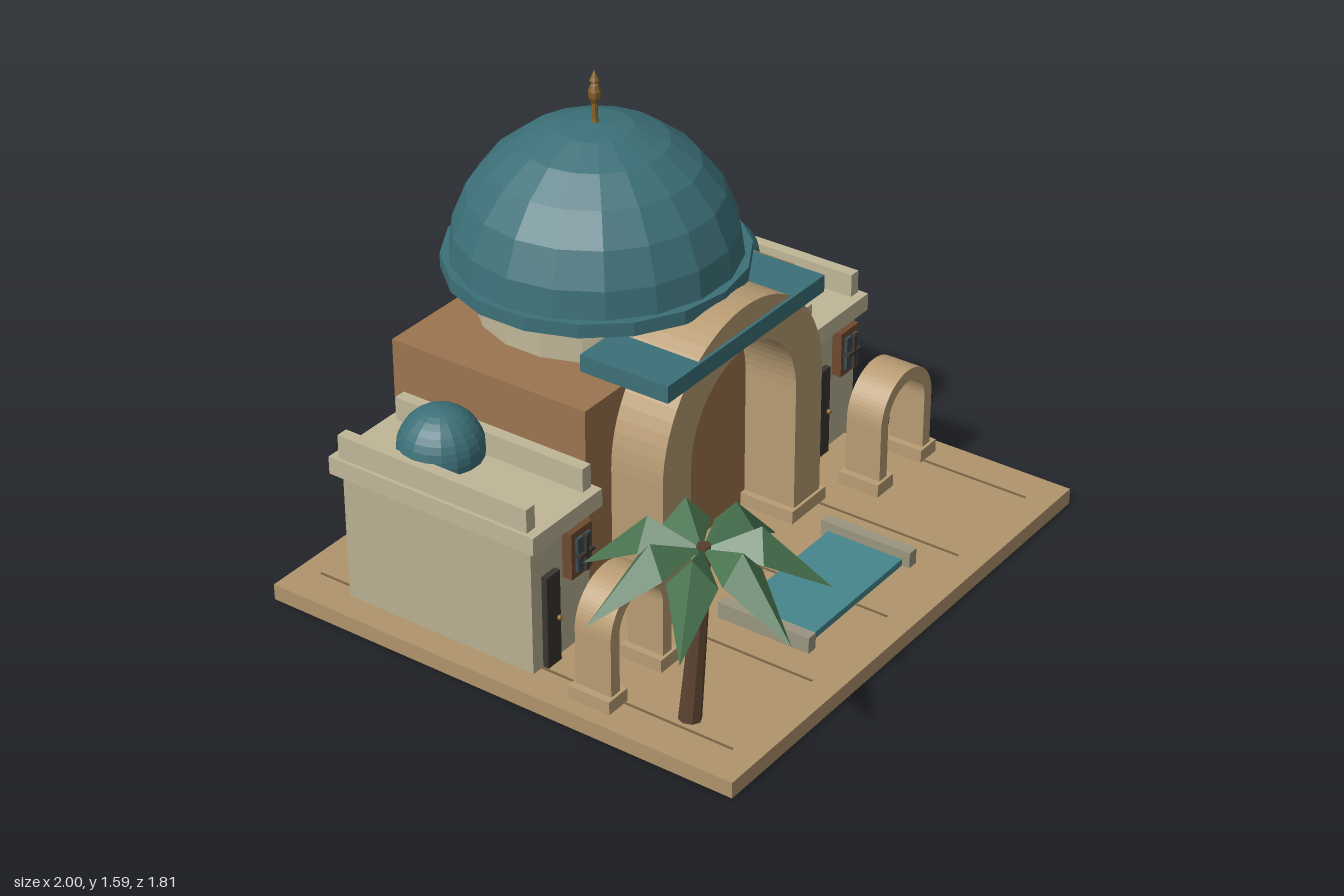
import * as THREE from 'three';

const mat = (color, side = THREE.FrontSide) =>
  new THREE.MeshStandardMaterial({ color, flatShading: true, side });

const M = {
  sand: mat(0xb89c74), ground: mat(0xb0946c), clay: mat(0x9c7450), plaster: mat(0xb8b092),
  trim: mat(0xc0b698), teal: mat(0x3c7078, THREE.DoubleSide), water: mat(0x46868c),
  stone: mat(0x9a9580), wood: mat(0x6e4a30), dark: mat(0x3a3530), glass: mat(0x3c4a50),
  gold: mat(0x86622a), bark: mat(0x58402f), leaf: mat(0x4a7450, THREE.DoubleSide), seam: mat(0x7c6648),
};

const GROUND = 0.055; // top of the base slab
const CX = 0.05;      // symmetry axis of the building

function add(parent, name, geometry, material, x = 0, y = 0, z = 0) {
  const mesh = new THREE.Mesh(geometry, material);
  mesh.name = name;
  mesh.position.set(x, y, z);
  parent.add(mesh);
  return mesh;
}

// Box given by its limits on each axis
function box(parent, name, material, [x0, x1], [y0, y1], [z0, z1]) {
  return add(parent, name, new THREE.BoxGeometry(x1 - x0, y1 - y0, z1 - z0), material,
    (x0 + x1) / 2, (y0 + y1) / 2, (z0 + z1) / 2);
}

// Round arch on straight legs with a foot block under each leg
function archway(name, x, rOut, rIn, spring, [z0, z1], foot) {
  const g = new THREE.Group();
  g.name = name;
  g.position.x = x;
  const s = new THREE.Shape();
  s.moveTo(rOut, GROUND);
  s.lineTo(rOut, spring);
  s.absarc(0, spring, rOut, 0, Math.PI, false);
  s.lineTo(-rOut, GROUND);
  s.lineTo(-rIn, GROUND);
  s.lineTo(-rIn, spring);
  s.absarc(0, spring, rIn, Math.PI, 0, true);
  s.lineTo(rIn, GROUND);
  s.closePath();
  const geo = new THREE.ExtrudeGeometry(s, { depth: z1 - z0, bevelEnabled: false, curveSegments: 16 });
  add(g, 'arch', geo, M.sand, 0, 0, z0);
  const mid = (rOut + rIn) / 2;
  for (const side of [-1, 1]) {
    box(g, 'archFoot', M.sand, [side * mid - foot / 2, side * mid + foot / 2], [GROUND, 0.1], [z0 - 0.01, z1 + 0.01]);
  }
  return g;
}

// Side building with cornice, parapets, small dome, door and window
function wing(name, x) {
  const g = new THREE.Group();
  g.name = name;
  g.position.x = x;
  box(g, 'wingWall', M.plaster, [-0.14, 0.14], [GROUND, 0.5], [-0.68, 0.03]);
  box(g, 'cornice', M.trim, [-0.167, 0.167], [0.5, 0.56], [-0.71, 0.062]);
  for (const s of [-1, 1]) {
    box(g, 'parapet', M.trim, [s * 0.135 - 0.02, s * 0.135 + 0.02], [0.56, 0.64], [-0.68, 0.03]);
  }
  const dome = new THREE.SphereGeometry(0.135, 18, 10, 0, Math.PI * 2, 0, Math.PI * 0.56);
  add(g, 'smallDome', dome, M.teal, 0, 0.62, -0.41);
  box(g, 'door', M.dark, [-0.092, -0.028], [GROUND, 0.375], [0.03, 0.05]);
  add(g, 'doorKnob', new THREE.SphereGeometry(0.009, 8, 6), M.gold, -0.043, 0.215, 0.058);
  // window: frame, panes and crossing bars
  box(g, 'windowFrame', M.wood, [0.01, 0.11], [0.32, 0.48], [0.03, 0.065]);
  for (const px of [0.043, 0.077]) {
    for (const py of [0.37, 0.43]) {
      box(g, 'windowPane', M.glass, [px - 0.015, px + 0.015], [py - 0.028, py + 0.028], [0.06, 0.076]);
    }
  }
  box(g, 'windowBar', M.dark, [0.055, 0.065], [0.34, 0.46], [0.06, 0.088]);
  box(g, 'windowBar', M.dark, [0.025, 0.095], [0.395, 0.405], [0.06, 0.088]);
  return g;
}

// Leaning palm with folded kite-shaped fronds
function palm() {
  const g = new THREE.Group();
  g.name = 'palmTree';
  const path = [[-0.72, GROUND], [-0.695, 0.24], [-0.672, 0.43], [-0.652, 0.625]];
  const radii = [0.036, 0.031, 0.027, 0.022];
  const up = new THREE.Vector3(0, 1, 0);
  for (let i = 0; i < 3; i++) {
    const a = new THREE.Vector3(...path[i], 0.535);
    const b = new THREE.Vector3(...path[i + 1], 0.535);
    const d = b.clone().sub(a);
    const m = add(g, 'trunkSegment', new THREE.CylinderGeometry(radii[i + 1], radii[i], d.length(), 8), M.bark);
    m.position.copy(a).add(b).multiplyScalar(0.5);
    m.quaternion.setFromUnitVectors(up, d.normalize());
  }
  const frond = new THREE.BufferGeometry();
  frond.setAttribute('position', new THREE.Float32BufferAttribute([
    0, 0, 0, 0.17, 0.07, 0, 0.17, -0.015, -0.075, 0.375, -0.145, 0, 0.17, -0.015, 0.075,
  ], 3));
  frond.setIndex([0, 1, 2, 1, 3, 2, 0, 4, 1, 1, 4, 3]);
  frond.computeVertexNormals();
  for (let i = 0; i < 7; i++) {
    add(g, 'frond', frond, M.leaf, -0.658, 0.612, 0.533).rotation.y = (i / 7) * Math.PI * 2;
  }
  return g;
}

export function createModel() {
  const model = new THREE.Group();
  model.name = 'domedBuilding';

  // Base slab with paving seams
  box(model, 'baseSlab', M.ground, [-0.9, 1], [0, GROUND], [-0.91, 0.81]);
  for (let i = -2; i <= 2; i++) {
    const x = CX + i * 0.41;
    box(model, 'pavingSeam', M.seam, [x - 0.003, x + 0.003], [GROUND - 0.01, GROUND + 0.004], [-0.83, 0.72]);
  }

  // Main hall
  box(model, 'mainHall', M.clay, [-0.5, 0.6], [GROUND, 0.8], [-0.73, 0]);
  box(model, 'hallWindow', M.wood, [0.4, 0.5], [0.4, 0.635], [-0.01, 0.03]);
  box(model, 'hallWindowPane', M.glass, [0.42, 0.485], [0.425, 0.61], [0, 0.035]);

  // Drum, rim, dome and finial
  const DZ = -0.365;
  add(model, 'drum', new THREE.CylinderGeometry(0.38, 0.38, 0.16, 18), M.trim, CX, 0.88, DZ);
  add(model, 'domeRim', new THREE.CylinderGeometry(0.48, 0.48, 0.046, 18), M.teal, CX, 0.966, DZ);
  add(model, 'mainDome', new THREE.SphereGeometry(0.46, 18, 6, 0, Math.PI * 2, 0, Math.PI / 2), M.teal, CX, 0.96, DZ);
  const profile = [[0.016, 1.4], [0.01, 1.43], [0.009, 1.48], [0.018, 1.5], [0.02, 1.52], [0.013, 1.54],
    [0.005, 1.545], [0.005, 1.553], [0.016, 1.554], [0, 1.59]].map(([r, y]) => new THREE.Vector2(r, y));
  add(model, 'finial', new THREE.LatheGeometry(profile, 8), M.gold, CX, 0, DZ);

  // Entrance portal and its band
  model.add(archway('portal', CX, 0.425, 0.28, 0.54, [-0.11, 0.19], 0.19));
  box(model, 'portalBand', M.teal, [-0.362, 0.462], [0.83, 0.888], [-0.12, 0.2]);

  // Wings and free-standing arches
  for (const [side, s] of [['right', -1], ['left', 1]]) {
    model.add(wing(side + 'Wing', CX + s * 0.72));
    model.add(archway(side + 'GardenArch', CX + s * 0.72, 0.15, 0.108, 0.29, [0.195, 0.325], 0.09));
  }

  // Pool
  box(model, 'poolWater', M.water, [-0.212, 0.312], [GROUND, 0.078], [0.333, 0.607]);
  for (const s of [-1, 1]) {
    const x = CX + s * 0.281;
    box(model, 'poolCurb', M.stone, [x - 0.019, x + 0.019], [GROUND, 0.11], [0.305, 0.635]);
  }

  model.add(palm());
  return model;
}
